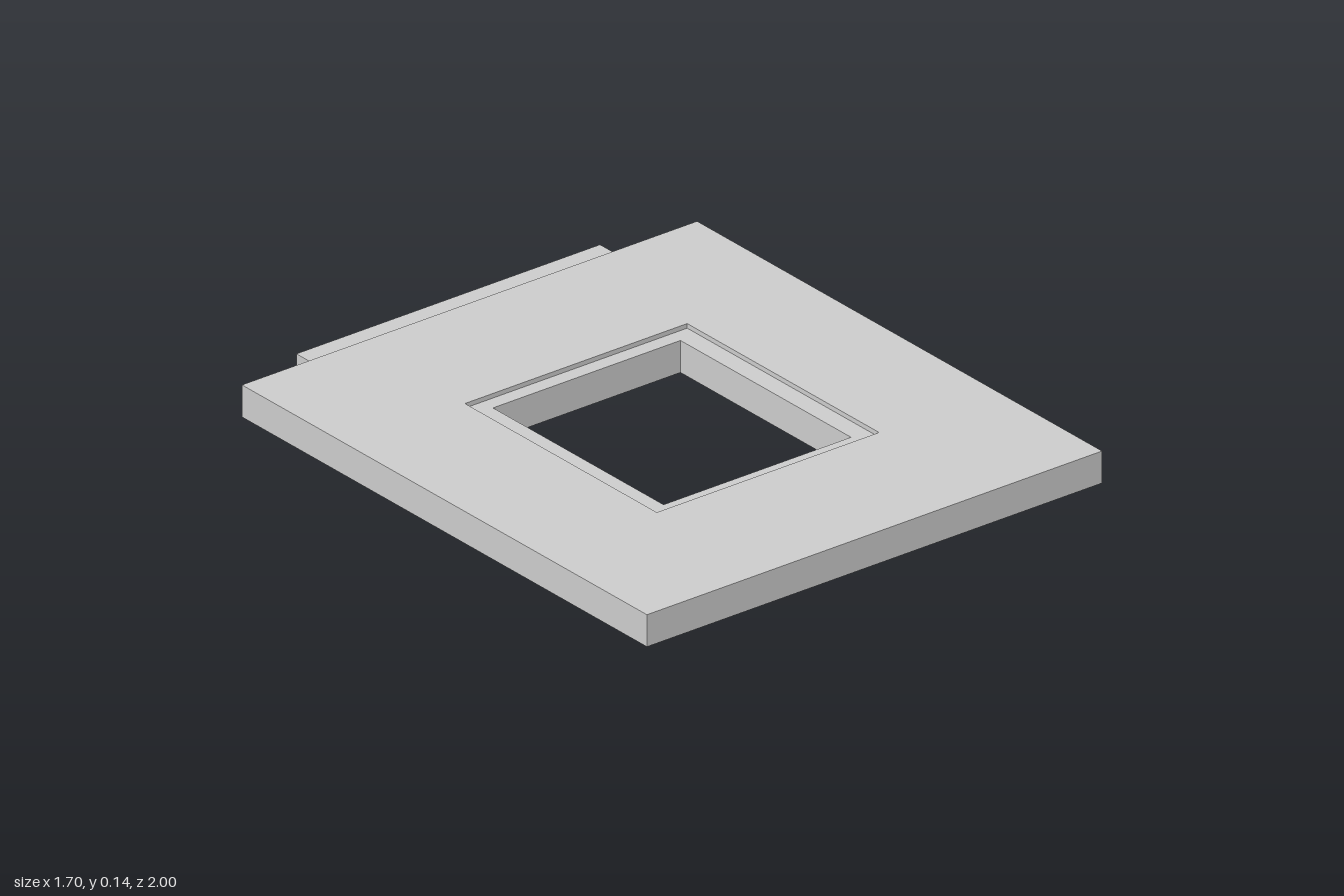
import * as THREE from 'three';

const material = new THREE.MeshStandardMaterial({ color: 0xcccccc, side: THREE.DoubleSide, flatShading: true });

// Rectangles are given as [x0, x1, z0, z1]
const OUTER = [-0.85, 0.85, -0.9, 1];
const OPENING = [-0.415, 0.415, -0.4, 0.5];
const FLANGE = [-0.477, 0.477, -0.565, 0.67];
const NECK = [-0.35, 0.35, -0.35, 0.45];
const TRAY = [-0.567, 0.567, -1, -0.75];

function rectPoints([x0, x1, z0, z1]) {
  return [[x0, z1], [x1, z1], [x1, z0], [x0, z0]].map(([x, z]) => new THREE.Vector2(x, -z));
}

// Horizontal sheet facing up, with an optional rectangular hole
function sheet(name, rect, y, hole) {
  const shape = new THREE.Shape(rectPoints(rect));
  if (hole) shape.holes.push(new THREE.Path(rectPoints(hole).reverse()));
  const mesh = new THREE.Mesh(new THREE.ShapeGeometry(shape).rotateX(-Math.PI / 2), material);
  mesh.position.y = y;
  mesh.name = name;
  return mesh;
}

// Vertical sheets along the chosen sides of a rectangle
function walls(name, [x0, x1, z0, z1], y0, y1, sides = ['front', 'right', 'back', 'left']) {
  const group = new THREE.Group();
  group.name = name;
  const cx = (x0 + x1) / 2, cz = (z0 + z1) / 2;
  const layout = {
    front: [cx, z1, x1 - x0, 0],
    left: [x1, cz, z1 - z0, Math.PI / 2],
    back: [cx, z0, x1 - x0, Math.PI],
    right: [x0, cz, z1 - z0, -Math.PI / 2],
  };
  for (const side of sides) {
    const [x, z, width, turn] = layout[side];
    const mesh = new THREE.Mesh(new THREE.PlaneGeometry(width, y1 - y0), material);
    mesh.position.set(x, (y0 + y1) / 2, z);
    mesh.rotation.y = turn;
    mesh.name = `${name}-${side}`;
    group.add(mesh);
  }
  return group;
}

export function createModel() {
  const model = new THREE.Group();
  model.name = 'framedPanel';

  // Hollow panel: top with opening, outer skirt and opening skirt
  model.add(sheet('panelTop', OUTER, 0.135, OPENING));
  model.add(walls('panelSkirt', OUTER, 0.03, 0.135));
  model.add(walls('openingSkirt', OPENING, 0.03, 0.135));

  // Recessed ledge and the neck that hangs from it
  model.add(sheet('ledge', FLANGE, 0.12, NECK));
  model.add(walls('neck', NECK, 0.015, 0.12));

  // Open-bottomed cover projecting from the back
  model.add(sheet('backCoverTop', TRAY, 0.108));
  model.add(walls('backCoverSides', TRAY, 0, 0.108, ['back', 'left', 'right']));

  return model;
}
